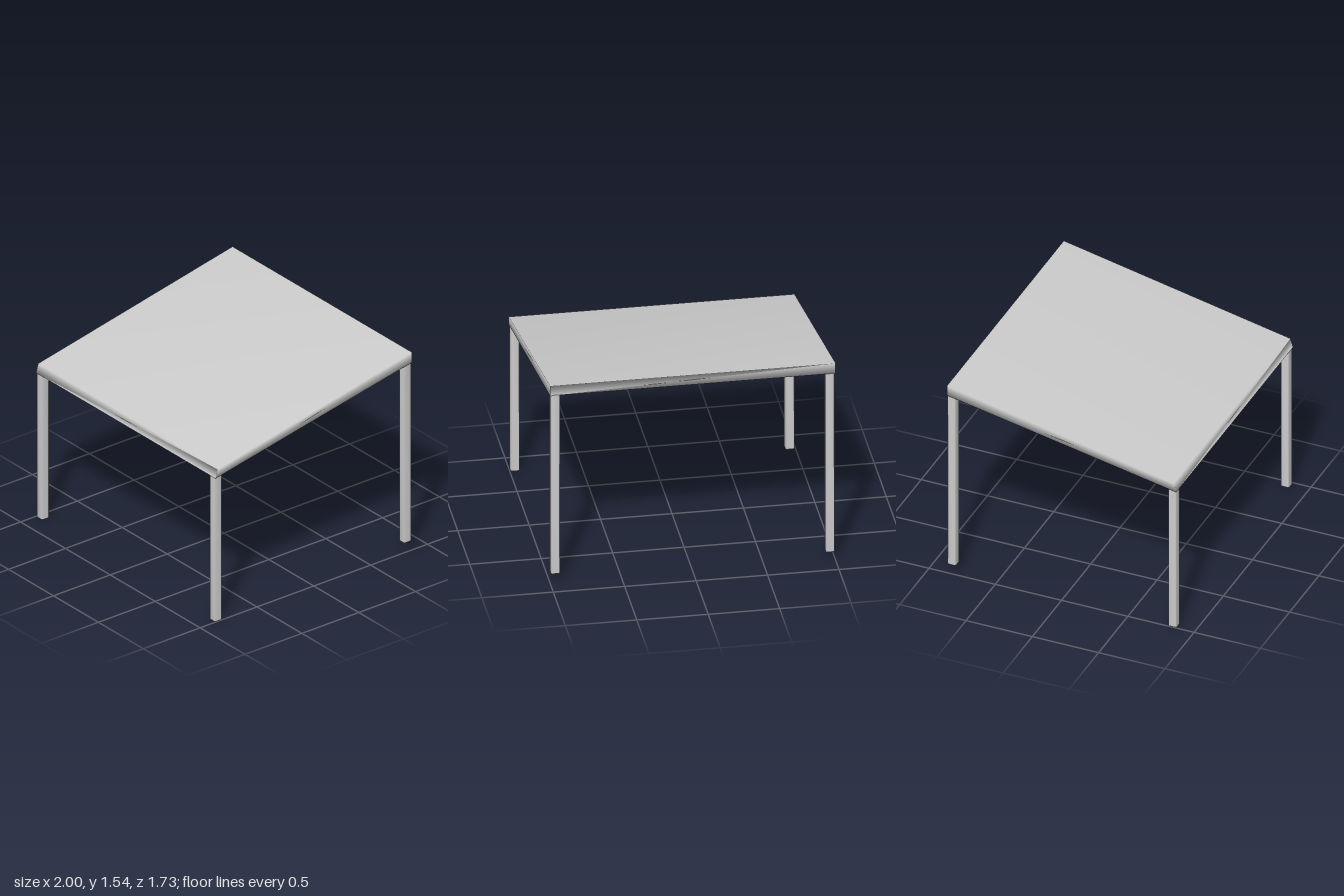
import * as THREE from 'three';
import { mergeVertices } from 'three/addons/utils/BufferGeometryUtils.js';

const material = new THREE.MeshStandardMaterial({ color: 0xcccccc });

// height of the sloping underside of the roof at depth z
const underside = (z) => 1.12 + (0.865 - z) * 0.198;

// share corner vertices so the shading runs smoothly over the edges
function smooth(geometry) {
  geometry.deleteAttribute('normal');
  geometry.deleteAttribute('uv');
  const merged = mergeVertices(geometry, 1e-4);
  merged.computeVertexNormals();
  return merged;
}

function addMesh(group, name, geometry) {
  const mesh = new THREE.Mesh(geometry, material);
  mesh.name = name;
  group.add(mesh);
}

// sloping slab: side profile in (z, y), corners moved from a box
function roofGeometry() {
  const geometry = new THREE.BoxGeometry(2, 1, 1);
  const p = geometry.attributes.position;
  for (let i = 0; i < p.count; i++) {
    const top = p.getY(i) > 0;
    const front = p.getZ(i) > 0;
    const z = front ? (top ? 0.845 : 0.865) : -0.865;
    const y = top ? (front ? 1.185 : 1.54) : underside(z);
    p.setXYZ(i, p.getX(i), y, z);
  }
  return smooth(geometry);
}

// square post with slightly bevelled corners, cut to the slope at the top
function legGeometry(x, z, bottom) {
  const w = 0.032, c = 0.024;
  const shape = new THREE.Shape([
    [w, -c], [w, c], [c, w], [-c, w], [-w, c], [-w, -c], [-c, -w], [c, -w],
  ].map(([a, b]) => new THREE.Vector2(a, b)));
  const geometry = new THREE.ExtrudeGeometry(shape, { depth: 1, bevelEnabled: false });
  geometry.rotateX(-Math.PI / 2);
  geometry.translate(x, 0, z);
  const p = geometry.attributes.position;
  for (let i = 0; i < p.count; i++) {
    p.setY(i, p.getY(i) > 0.5 ? underside(p.getZ(i)) + 0.003 : bottom);
  }
  return smooth(geometry);
}

export function createModel() {
  const model = new THREE.Group();
  model.name = 'canopy';
  addMesh(model, 'roof', roofGeometry());

  // the rear legs stop a little higher than the front ones
  for (const [side, x] of [['Left', 0.962], ['Right', -0.962]]) {
    addMesh(model, 'front' + side + 'Leg', legGeometry(x, 0.832, 0));
    addMesh(model, 'rear' + side + 'Leg', legGeometry(x, -0.833, 0.07));
  }
  return model;
}
